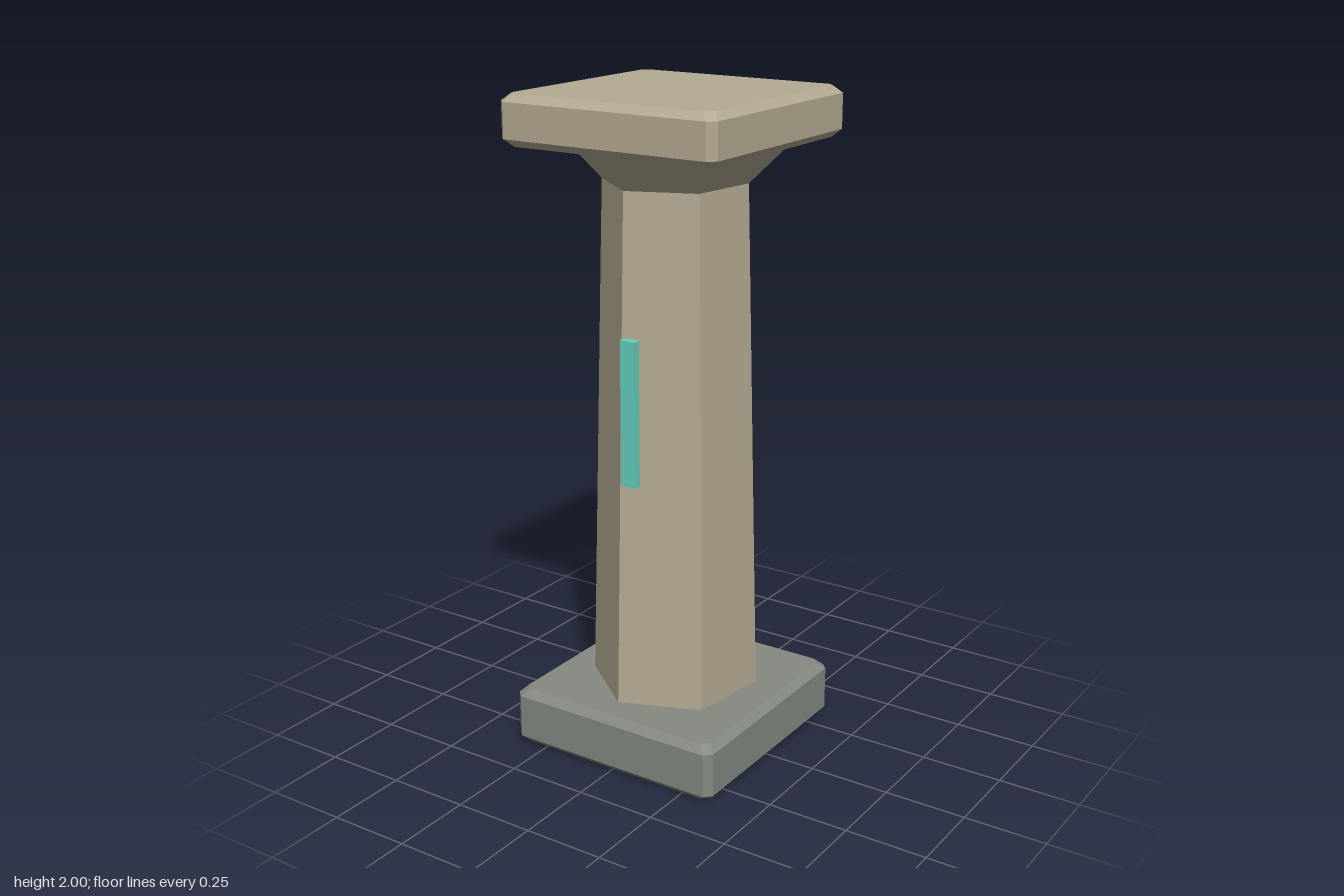
import * as THREE from 'three';
import { ConvexGeometry } from 'three/addons/geometries/ConvexGeometry.js';

const stone = new THREE.MeshStandardMaterial({ name: 'sandstone', color: 0xb5ab93 });
const footStone = new THREE.MeshStandardMaterial({ name: 'greyStone', color: 0x858a82 });
const glow = new THREE.MeshStandardMaterial({ name: 'turquoise', color: 0x64d2be });
for (const m of [stone, footStone]) m.flatShading = true;

const TWIST = -0.14; // the six-sided shaft is turned slightly off the slabs

function add(group, name, geometry, material, y = 0, z = 0) {
  const mesh = new THREE.Mesh(geometry, material);
  mesh.name = name;
  mesh.position.set(0, y, z);
  group.add(mesh);
}

// Square slab with every edge and upright corner cut by c
function slab(half, y0, y1, c) {
  const points = [];
  for (const [y, h] of [[y0, half - c], [y0 + c, half], [y1 - c, half], [y1, half - c]]) {
    for (const sx of [-1, 1]) for (const sz of [-1, 1]) {
      points.push(new THREE.Vector3(sx * h, y, sz * (h - c)));
      points.push(new THREE.Vector3(sx * (h - c), y, sz * h));
    }
  }
  return new ConvexGeometry(points);
}

// Tapered hexagonal section
function hexSection(rTop, rBottom, height) {
  return new THREE.CylinderGeometry(rTop, rBottom, height, 6, 1, false, TWIST);
}

export function createModel() {
  const pillar = new THREE.Group();
  pillar.name = 'pillar';

  // Foot and shaft
  add(pillar, 'base', slab(0.356, 0, 0.18, 0.022), footStone);
  add(pillar, 'shaft', hexSection(0.215, 0.258, 1.56), stone, 0.96);

  // Flared neck under the top slab
  add(pillar, 'flare', hexSection(0.33, 0.215, 0.115), stone, 1.7975);
  add(pillar, 'capital', slab(0.356, 1.853, 2, 0.022), stone);

  // Bright upright inlay on the front
  add(pillar, 'inlay', new THREE.BoxGeometry(0.05, 0.44, 0.023), glow, 1.1, 0.2315);

  return pillar;
}
